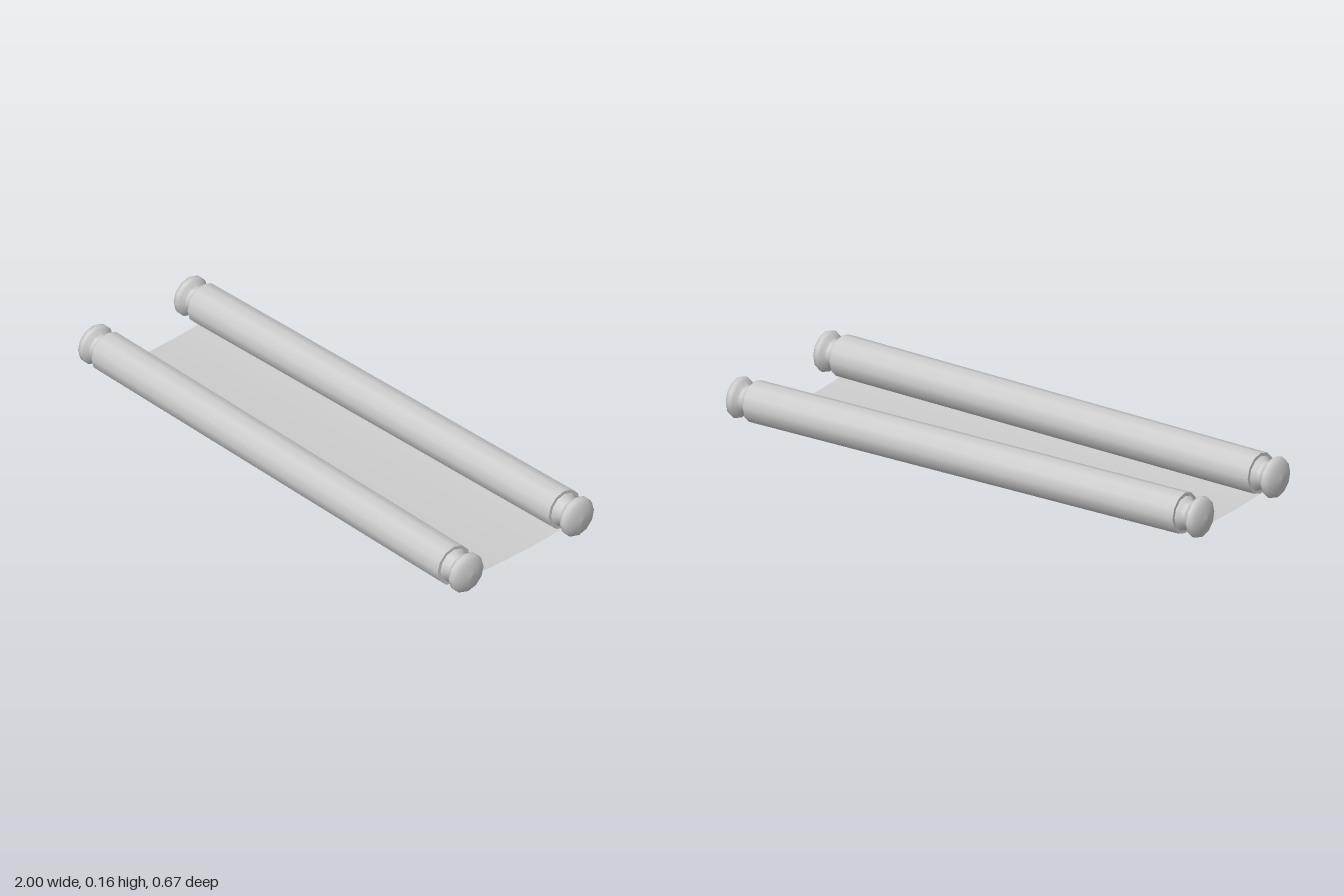
import * as THREE from 'three';

const SIDES = 12, RADIUS = 0.075, AXIS_Y = 0.087, HALF = 0.905;

// roller axes on the ground plan: z = z0 + slope * x
const FRONT = { z0: 0.2335, slope: 0.0275 };
const BACK = { z0: -0.2525, slope: -0.0105 };

const material = new THREE.MeshStandardMaterial({ color: 0xcccccc });
const sheetMaterial = new THREE.MeshStandardMaterial({ color: 0xcccccc, side: THREE.DoubleSide });

function mesh(name, geometry, mat = material) {
  const m = new THREE.Mesh(geometry, mat);
  m.name = name;
  return m;
}

// waisted neck and domed knob, turned around the roller axis
function knobGeometry() {
  const profile = [
    [0.064, 0.9], [0.062, 0.908], [0.053, 0.918], [0.048, 0.929], [0.048, 0.938],
    [0.054, 0.945], [0.067, 0.953], [0.074, 0.961], [0.075, 0.969], [0.071, 0.979],
    [0.058, 0.988], [0.035, 0.996], [0, 1],
  ].map(([r, y]) => new THREE.Vector2(r, y));
  return new THREE.LatheGeometry(profile, SIDES);
}

function roller(name, { z0, slope }) {
  const group = new THREE.Group();
  group.name = name;

  // rolled paper
  const roll = mesh('paperRoll', new THREE.CylinderGeometry(RADIUS, RADIUS, HALF * 2, SIDES));
  roll.rotation.z = -Math.PI / 2;
  group.add(roll);

  // a knob at each end
  for (const side of [1, -1]) {
    const knob = mesh(side > 0 ? 'leftKnob' : 'rightKnob', knobGeometry());
    knob.rotation.z = -side * Math.PI / 2;
    group.add(knob);
  }
  group.position.set(0, AXIS_Y, z0);
  group.rotation.y = -Math.atan(slope);
  return group;
}

// open sheet sagging gently between the undersides of the rollers
function sheet() {
  const geometry = new THREE.PlaneGeometry(HALF * 2, 2, 4, 16).rotateX(-Math.PI / 2);
  const p = geometry.attributes.position;
  for (let i = 0; i < p.count; i++) {
    const x = p.getX(i), t = p.getZ(i);
    const front = FRONT.z0 + FRONT.slope * x;
    const back = BACK.z0 + BACK.slope * x;
    p.setY(i, (AXIS_Y - RADIUS) * t * t);
    p.setZ(i, (front + back) / 2 + t * (front - back) / 2);
  }
  geometry.computeVertexNormals();
  return mesh('openSheet', geometry, sheetMaterial);
}

export function createModel() {
  const model = new THREE.Group();
  model.name = 'scroll';
  model.add(roller('frontRoller', FRONT), roller('backRoller', BACK), sheet());
  return model;
}
